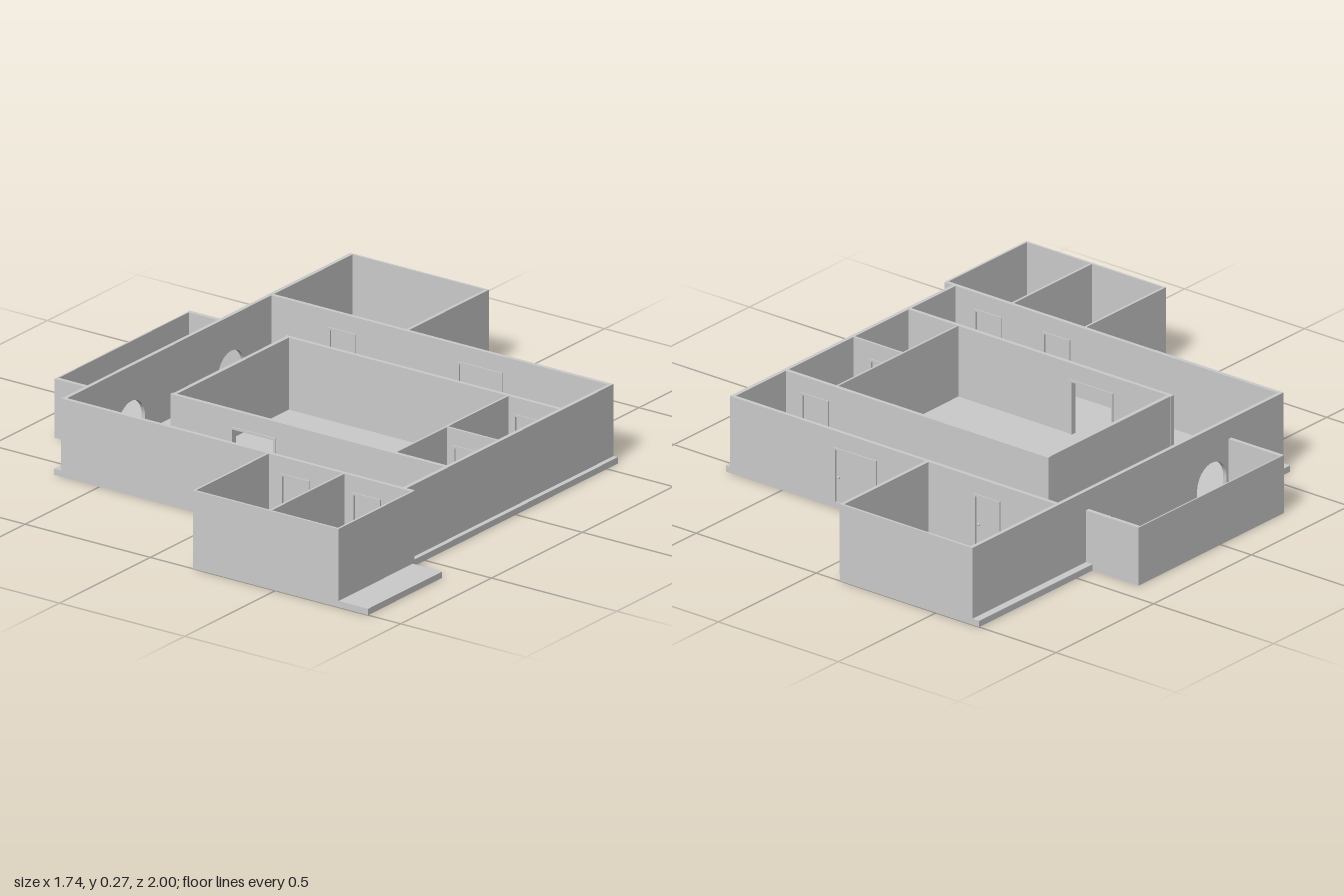
import * as THREE from 'three';

const FLOOR = 0.022, TOP = 0.272;
const grey = new THREE.MeshStandardMaterial({ color: 0xcccccc, flatShading: true, side: THREE.DoubleSide });

function add(parent, name, geometry, x = 0, y = 0, z = 0) {
  const mesh = new THREE.Mesh(geometry, grey);
  mesh.name = name;
  mesh.position.set(x, y, z);
  parent.add(mesh);
  return mesh;
}

// Upright wall from a to b along x or z; at = smaller coordinate across it.
// Openings are [from, to, top, arched], sorted, cut up from the floor.
function wall(parent, name, axis, a, b, at, thick, openings = [], top = TOP) {
  const s = new THREE.Shape();
  s.moveTo(a, FLOOR);
  for (const [o0, o1, oTop, arched] of openings) {
    const r = (o1 - o0) / 2;
    s.lineTo(o0, FLOOR);
    if (arched) {
      s.lineTo(o0, oTop - r);
      s.absarc((o0 + o1) / 2, oTop - r, r, Math.PI, 0, true);
    } else {
      s.lineTo(o0, oTop);
      s.lineTo(o1, oTop);
    }
    s.lineTo(o1, FLOOR);
  }
  s.lineTo(b, FLOOR);
  s.lineTo(b, top);
  s.lineTo(a, top);
  s.closePath();
  const g = new THREE.ExtrudeGeometry(s, { depth: thick, bevelEnabled: false, curveSegments: 16 });
  if (axis === 'z') g.rotateY(-Math.PI / 2).translate(at + thick, 0, 0);
  else g.translate(0, 0, at);
  return add(parent, name, g);
}

// Trim around an opening in a wall along x, with an optional closed leaf and knobs
function door(parent, name, x0, x1, z, thick, top, leaf = true) {
  const d = new THREE.Group();
  d.name = name;
  const trim = 0.008, depth = thick + 0.008, h = top - FLOOR, w = x1 - x0, xc = (x0 + x1) / 2;
  for (const x of [x0 + trim / 2, x1 - trim / 2])
    add(d, 'doorJamb', new THREE.BoxGeometry(trim, h, depth), x, FLOOR + h / 2, z);
  add(d, 'doorHead', new THREE.BoxGeometry(w, trim, depth), xc, top - trim / 2, z);
  if (leaf) {
    add(d, 'doorLeaf', new THREE.BoxGeometry(w - 2 * trim, h - trim, thick * 0.5), xc, FLOOR + (h - trim) / 2, z);
    for (const side of [-1, 1])
      add(d, 'doorKnob', new THREE.SphereGeometry(0.005, 10, 8), x1 - 0.02, FLOOR + h * 0.46, z + side * thick * 0.55);
  }
  parent.add(d);
}

export function createModel() {
  const model = new THREE.Group();
  model.name = 'floorPlanHouse';
  const T = 0.014, t = 0.008, DOOR = 0.215;

  // Floor slab outline (x, z)
  const outline = [[-0.68, -1], [-0.1, -1], [-0.1, -0.56], [0.735, -0.56], [0.735, 0.592], [0.87, 0.592],
    [0.87, 1], [0.17, 1], [0.17, 0.592], [-0.68, 0.592], [-0.68, 0.325], [-0.872, 0.325], [-0.872, -0.42], [-0.68, -0.42]];
  const slab = new THREE.ExtrudeGeometry(new THREE.Shape(outline.map(([x, z]) => new THREE.Vector2(x, -z))),
    { depth: FLOOR, bevelEnabled: false });
  add(model, 'floorSlab', slab.rotateX(-Math.PI / 2));

  // Outer shell of the main block and the back room
  const shell = new THREE.Group();
  shell.name = 'outerWalls';
  model.add(shell);
  wall(shell, 'rightLongWall', 'z', -1, 0.592, -0.652, T, [[-0.4, -0.25, 0.15, true], [0.15, 0.3, 0.15, true]]);
  wall(shell, 'leftLongWall', 'z', -0.56, 0.592, 0.704, T);
  wall(shell, 'mainBackWall', 'x', -0.645, 0.71, -0.56, T, [[-0.41, -0.3, DOOR], [0.105, 0.285, DOOR]]);
  wall(shell, 'mainFrontWall', 'x', -0.645, 0.75, 0.578, T, [[0.225, 0.34, DOOR], [0.51, 0.625, DOOR]]);
  wall(shell, 'backRoomBackWall', 'x', -0.645, -0.098, -1, t);
  wall(shell, 'backRoomSideWall', 'z', -1, -0.55, -0.11, t + 0.004);

  // Inner rooms
  const inner = new THREE.Group();
  inner.name = 'innerWalls';
  model.add(inner);
  wall(inner, 'innerBackWall', 'x', -0.39, 0.71, -0.29, T, [[0.525, 0.64, DOOR]]);
  wall(inner, 'innerFrontWall', 'x', -0.39, 0.71, 0.338, T, [[-0.15, 0.03, DOOR]]);
  wall(inner, 'innerEndWall', 'z', -0.29, 0.352, -0.387, T);
  wall(inner, 'innerPartition', 'z', -0.28, 0.345, 0.497, t);
  wall(inner, 'smallRoomPartition', 'x', 0.5, 0.71, 0.056, t, [[0.53, 0.635, DOOR]]);

  // Front rooms
  const front = new THREE.Group();
  front.name = 'frontRooms';
  model.add(front);
  wall(front, 'frontRoomsFrontWall', 'x', 0.17, 0.752, 0.992, t);
  for (const x of [0.17, 0.472, 0.744]) wall(front, 'frontRoomsSideWall', 'z', 0.585, 0.998, x, t);

  // Low side bay
  const bay = new THREE.Group();
  bay.name = 'sideBay';
  model.add(bay);
  wall(bay, 'bayOuterWall', 'z', -0.42, 0.325, -0.872, 0.006, [], 0.205);
  for (const z of [-0.42, 0.31]) wall(bay, 'bayEndWall', 'x', -0.87, -0.645, z, 0.015, [], 0.205);

  // Doors
  door(model, 'backRoomDoor', -0.41, -0.3, -0.553, T, DOOR);
  door(model, 'backDoor', 0.105, 0.285, -0.553, T, DOOR);
  door(model, 'frontRoomDoor', 0.225, 0.34, 0.585, T, DOOR);
  door(model, 'frontRoomDoor', 0.51, 0.625, 0.585, T, DOOR);
  door(model, 'innerBackDoor', 0.525, 0.64, -0.283, T, DOOR);
  door(model, 'smallRoomDoor', 0.53, 0.635, 0.06, t, DOOR);
  door(model, 'innerFrontDoorway', -0.15, 0.03, 0.345, T, DOOR, false);

  return model;
}
